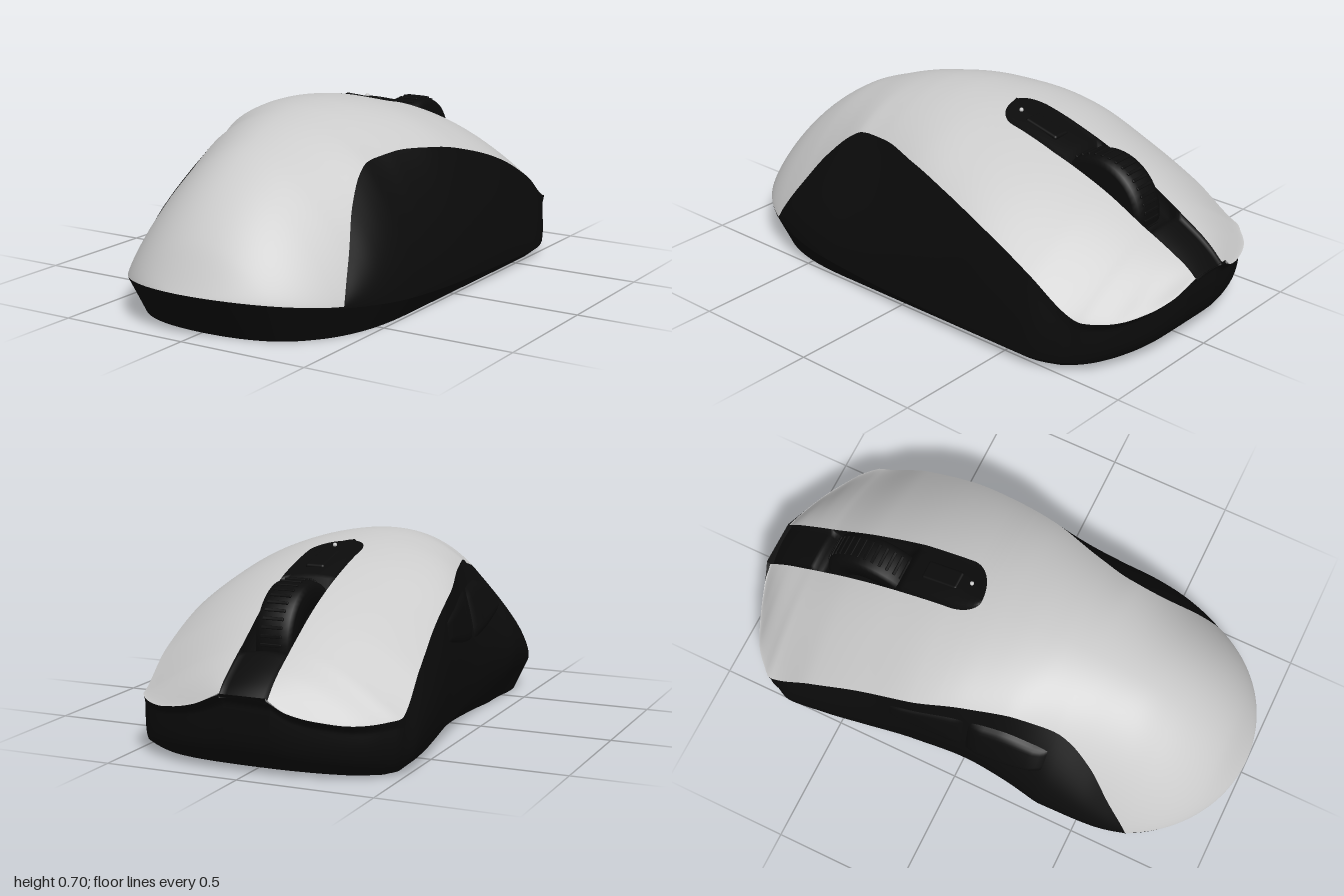
import * as THREE from 'three';
import { mergeVertices } from 'three/addons/utils/BufferGeometryUtils.js';
import { RoundedBoxGeometry } from 'three/addons/geometries/RoundedBoxGeometry.js';

const { lerp, clamp, smoothstep } = THREE.MathUtils;

// Smooth monotone curve through [z, value] pairs
function curve(p) {
  const d = p.slice(1).map((q, i) => (q[1] - p[i][1]) / (q[0] - p[i][0]));
  const m = p.map((_, i) => {
    if (i === 0) return d[0];
    if (i === p.length - 1) return d[i - 1];
    return d[i - 1] * d[i] <= 0 ? 0 : 2 * d[i - 1] * d[i] / (d[i - 1] + d[i]);
  });
  return z => {
    if (z <= p[0][0]) return p[0][1];
    let i = 0;
    while (i < p.length - 2 && z > p[i + 1][0]) i++;
    const h = p[i + 1][0] - p[i][0], t = Math.min(1, (z - p[i][0]) / h), s = 1 - t;
    return p[i][1] * (1 + 2 * t) * s * s + p[i + 1][1] * t * t * (3 - 2 * t)
      + h * t * s * (m[i] * s - m[i + 1] * t);
  };
}

// Rounded plan outline of the palm end
const palm = z => z <= 0.3 ? 1 : Math.sqrt(Math.max(0, 1 - Math.pow((z - 0.3) / 0.7, 2.45)));

// Crown line, roundness of the top, rim of the palm, and the line between side panel and base
const crown = curve([[-1, .30], [-.95, .335], [-.8, .42], [-.6, .53], [-.4, .61], [-.2, .665], [0, .695], [.1, .7],
  [.2, .695], [.3, .68], [.4, .655], [.5, .62], [.6, .58], [.7, .52], [.8, .44], [.9, .33], [1, .165]]);
const roundness = curve([[-1, 1.35], [-.8, 1.2], [-.5, 1], [-.2, .7], [0, .5], [.35, .51], [.4, .57], [.5, .72], [.6, .84],
  [.7, .88], [1, .85]]);
const rim = curve([[.2, .1], [.7, .122], [.85, .14], [1, .165]]);
const baseLine = curve([[-1, .04], [-.7, .04], [0, .055], [.7, .115], [1, .155]]);

// Each side: seam position, seam height, widest line, bulge angle, inward lean at the foot
const sides = {
  right: {
    x: curve([[-1, .065], [-.98, .17], [-.95, .265], [-.9, .365], [-.87, .41], [-.83, .45], [-.8, .47], [-.6, .49],
      [-.4, .485], [-.2, .46], [0, .42], [.2, .36], [.35, .335], [.4, .34], [.5, .37], [.6, .42], [.7, .465], [.8, .52]]),
    y: curve([[-1, .29], [-.98, .24], [-.95, .215], [-.9, .2], [-.8, .21], [-.6, .33], [-.4, .43], [-.2, .5], [0, .545],
      [.2, .56], [.3, .55], [.4, .51]]),
    wide: curve([[-.82, .455], [-.75, .5], [-.6, .535], [.3, .535]]),
    bulge: Math.PI / 2, lean: 0,
  },
  left: {
    x: curve([[-1, -.11], [-.96, -.24], [-.92, -.34], [-.88, -.415], [-.83, -.47], [-.78, -.51], [-.6, -.495], [-.4, -.47],
      [-.2, -.45], [0, -.4], [.2, -.35], [.35, -.325], [.4, -.33], [.5, -.36], [.6, -.41], [.7, -.45], [.8, -.5]]),
    y: curve([[-1, .29], [-.98, .24], [-.95, .215], [-.9, .2], [-.8, .21], [-.6, .34], [-.4, .45], [-.2, .535], [0, .585],
      [.2, .595], [.3, .58], [.4, .53]]),
    wide: curve([[-.82, -.48], [-.7, -.54], [-.55, -.53], [-.4, -.51], [-.2, -.48], [0, -.47], [.2, -.49], [.35, -.518]]),
    bulge: 2.2, lean: .03,
  },
};

// Seam between top shell and side panel; behind the panel it runs along the rim
function seamX(s, z) {
  const x = s.x(z), w = s.wide(z) * palm(z);
  return z > 0.3 && Math.abs(x) > Math.abs(w) ? w : x;
}
const crownX = z => (seamX(sides.left, z) + seamX(sides.right, z)) / 2 - 0.04 * (1 - z * z);

// Widest x of a side, never inside its seam
function wideX(s, z) {
  const xs = seamX(s, z), w = z > -0.82 ? s.wide(z) * palm(z) : xs;
  return Math.abs(w) > Math.abs(xs) ? w : xs;
}

// Point on the top shell: u = 0 at the crown, 1 at the seam; the arch hangs from the seam in front, stands on the rim behind
function topPoint(s, z, u) {
  const xs = seamX(s, z), k = xs ? xs / wideX(s, z) : 1, e = roundness(z), top = crown(z), ys = s.y(z);
  const arch = t => Math.pow(Math.max(0, 1 - (k * t) ** 2), e);
  const front = ys + (top - ys) * (arch(u) - arch(1)) / (1 - arch(1));
  const back = rim(z) + (top - rim(z)) * arch(u);
  return [lerp(crownX(z), xs, u), lerp(front, back, smoothstep(z, .15, .42)), z];
}
const seamY = (s, z) => topPoint(s, z, 1)[1];

// Ends tuck inwards towards the floor, with a small step under the buttons
function tuck(s, z, y) {
  const f = Math.max(0, 1 - y / seamY(s, z));
  return z * (1 - z ** 4 * (z > 0 ? 0.12 * f : 0.035 * Math.min(1, f * 8) + 0.135 * f ** 5));
}

// Point on a side panel: v = 0 at the seam, 1 at the base line
function sidePoint(s, z, v) {
  const ys = seamY(s, z), y = lerp(ys, Math.min(baseLine(z), ys - 0.004), v), xs = seamX(s, z);
  const lean = s.lean * v ** 3 * (1 - smoothstep(z, .4, .7));
  return [xs + (wideX(s, z) - xs) * Math.sin(v * s.bulge) + lean, y, tuck(s, z, y)];
}

// Base flank: v = 0 at the base line, 1 on the floor
function basePoint(s, z, v) {
  const [x, y0] = sidePoint(s, z, 1), y = y0 * (1 - v);
  return [x - Math.sign(x) * Math.min(0.05, 0.12 * Math.abs(x)) * v, y, tuck(s, z, y)];
}

// Slot between the buttons
const SLOT_END = -0.1, CAP = 0.1;
function slotEdge(s, z) {
  const q = clamp((z - SLOT_END + CAP) / CAP, 0, 1), r = Math.sqrt(1 - q * q);
  const edge = s === sides.left ? lerp(-0.11, -0.095, (z + 1) / 0.9) : lerp(0.065, 0.11, clamp((z + 1) / 0.6, 0, 1));
  return lerp(crownX(z), edge, r);
}
// Slot edge as a fraction of the way from crown to seam
function slotU(s, z) {
  const c = crownX(z);
  return z >= SLOT_END ? 0 : Math.min(1, (slotEdge(s, z) - c) / (seamX(s, z) - c));
}

// Smooth surface from one or more grids of points
function surface(name, material, ...grids) {
  const pos = [], index = [];
  for (const g of grids) {
    const o = pos.length / 3, w = g[0].length;
    g.forEach(row => row.forEach(p => pos.push(...p)));
    for (let i = 0; i < g.length - 1; i++) for (let j = 0; j < w - 1; j++) {
      const a = o + i * w + j, b = a + w;
      index.push(a, b, a + 1, b, b + 1, a + 1);
    }
  }
  let geo = new THREE.BufferGeometry();
  geo.setAttribute('position', new THREE.Float32BufferAttribute(pos, 3));
  geo.setIndex(index);
  geo = mergeVertices(geo, 1e-5);
  geo.computeVertexNormals();
  const mesh = new THREE.Mesh(geo, material);
  mesh.name = name;
  return mesh;
}
const range = (n, f) => Array.from({ length: n + 1 }, (_, i) => f(i / n));

export function createModel() {
  const model = new THREE.Group();
  const grey = new THREE.MeshStandardMaterial({ color: 0xcccccc, side: THREE.DoubleSide });
  const black = new THREE.MeshStandardMaterial({ color: 0x0b0b0b, side: THREE.DoubleSide });
  const white = new THREE.MeshStandardMaterial({ color: 0xffffff });
  const { left, right } = sides;

  // Stations along the body, denser at both ends and at the slot's round end
  const zs = range(130, t => -Math.cos(Math.PI * t))
    .concat(range(14, t => SLOT_END - CAP + CAP * Math.sin(t * Math.PI / 2))).sort((a, b) => a - b);

  // Top shell with both buttons
  const half = s => zs.map(z => {
    const u0 = slotU(s, z), row = range(24, t => topPoint(s, z, lerp(u0, 1, Math.sin(t * Math.PI / 2))));
    return s === left ? row.reverse() : row;
  });
  model.add(surface('topShell', grey, half(left), half(right)));

  // Side panels and base run round the whole outline
  const loop = [...zs.map(z => [right, z]), ...zs.slice().reverse().map(z => [left, z]), [right, zs[0]]];
  model.add(surface('sidePanels', black, loop.map(([s, z]) => range(20, t => sidePoint(s, z, t)))));
  model.add(surface('base', black, loop.map(([s, z]) => range(4, t => basePoint(s, z, t)))));

  // Centre console with a deeper wheel well
  const depth = curve([[-1, .015], [-.8, .02], [-.76, .07], [-.45, .07], [-.42, .008], [-.1, .004]]);
  const slotZ = zs.filter(z => z <= SLOT_END);
  model.add(surface('centreConsole', black, slotZ.map(z => {
    const a = topPoint(left, z, slotU(left, z)), b = topPoint(right, z, slotU(right, z)), d = depth(z);
    return [a, ...range(8, t => [lerp(a[0], b[0], t), lerp(a[1], b[1], t) - d + 0.01 * (1 - (2 * t - 1) ** 2), z]), b];
  })));

  // Scroll wheel with ribbed tread
  const wheel = new THREE.Group();
  wheel.name = 'scrollWheel';
  const profile = [[.1, -.07], [.17, -.07], [.19, -.06], [.198, -.03], [.198, .03], [.19, .06], [.17, .07], [.1, .07], [.1, -.07]];
  const tyre = new THREE.Mesh(new THREE.LatheGeometry(profile.map(p => new THREE.Vector2(...p)), 48), black);
  tyre.name = 'wheelTyre';
  tyre.rotation.z = Math.PI / 2;
  wheel.add(tyre);
  const hub = new THREE.Mesh(new THREE.CylinderGeometry(.1, .1, .11, 32), black);
  hub.name = 'wheelHub';
  hub.rotation.z = Math.PI / 2;
  wheel.add(hub);
  const ribGeo = new RoundedBoxGeometry(.08, .01, .012, 1, .003);
  for (let i = 0; i < 40; i++) {
    const a = i / 40 * Math.PI * 2, rib = new THREE.Mesh(ribGeo, black);
    rib.name = 'wheelRib';
    rib.position.set(0, Math.cos(a) * .197, Math.sin(a) * .197);
    rib.rotation.x = a;
    wheel.add(rib);
  }
  wheel.position.set(-.005, .41, -.55);
  model.add(wheel);

  // Small button and indicator light behind the wheel
  const modeButton = new THREE.Mesh(new RoundedBoxGeometry(.075, .025, .15, 3, .01), black);
  modeButton.name = 'modeButton';
  modeButton.position.set(.015, crown(-.28) - .012, -.28);
  modeButton.rotation.x = -.24;
  model.add(modeButton);
  const light = new THREE.Mesh(new THREE.SphereGeometry(.008, 12, 8), white);
  light.name = 'indicatorLight';
  light.position.set(.02, crown(-.165) + .002, -.165);
  model.add(light);

  // Two thumb buttons raised from the left panel
  [['frontThumbButton', -.28, .02, .012], ['rearThumbButton', .03, .34, .022]].forEach(([name, z0, z1, height]) => {
    const rise = t => Math.min(1, 6 * Math.min(t, 1 - t));
    model.add(surface(name, black, range(24, a => range(16, b => {
      const z = lerp(z0, z1, a), end = clamp((z + .28) / .62, 0, 1);
      const p = sidePoint(left, z, lerp(.14, lerp(.3, .5, Math.sin(end * Math.PI)), b));
      const lift = Math.sqrt(rise(a) * rise(b));
      return [p[0] - height * lift + .003, p[1] + .004 * lift, p[2]];
    }))));
  });
  return model;
}
